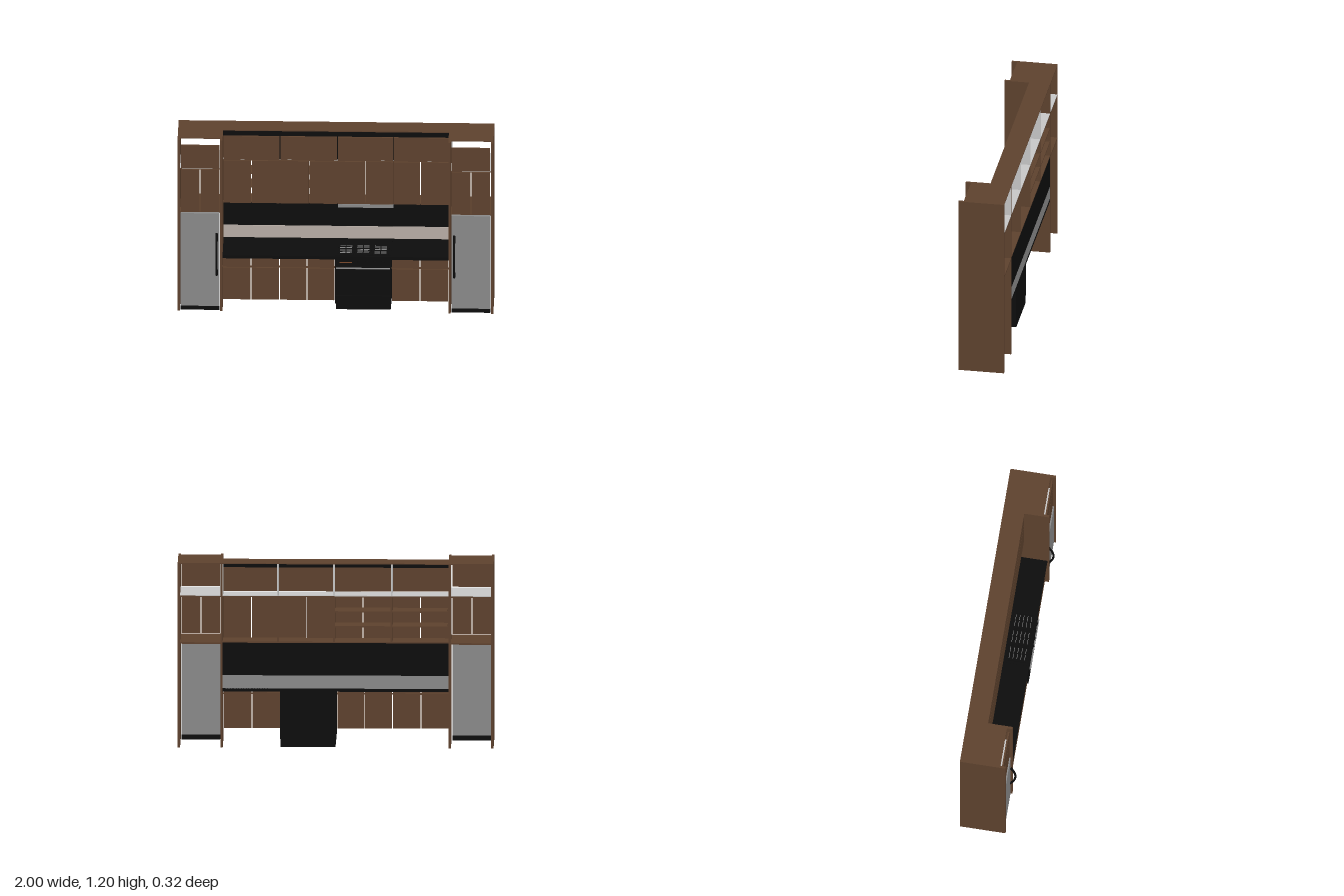
import * as THREE from 'three';

const mat = (name, color) => {
  const m = new THREE.MeshStandardMaterial({ color });
  m.name = name;
  return m;
};

export function createModel() {
  const wood = mat('walnut', 0x5e422e);
  const black = mat('black', 0x0d0d0d);
  const steel = mat('steel', 0x8a8a8a);
  const light = mat('lightLiner', 0xc8c8c8);
  const beige = mat('beigeSplash', 0xb8aea6);
  const copper = mat('display', 0x7a4a2c);

  const model = new THREE.Group();
  model.name = 'kitchenWall';

  // Box given by its limits on each axis
  const box = (name, m, x0, x1, y0, y1, z0, z1, parent = model) => {
    const mesh = new THREE.Mesh(new THREE.BoxGeometry(x1 - x0, y1 - y0, z1 - z0), m);
    mesh.position.set((x0 + x1) / 2, (y0 + y1) / 2, (z0 + z1) / 2);
    mesh.name = name;
    parent.add(mesh);
    return mesh;
  };
  // Row of doors between successive x positions, with narrow gaps
  const doors = (name, xs, y0, y1, z, parent = model) => {
    for (let i = 0; i < xs.length - 1; i++)
      box(name, wood, xs[i] + 0.003, xs[i + 1] - 0.003, y0 + 0.003, y1 - 0.003, z - 0.01, z, parent);
  };

  const BACK = -0.163;
  const H = 1.195;

  // Refrigerator columns, one at each end
  for (const s of [-1, 1]) {
    const col = new THREE.Group();
    col.name = s > 0 ? 'leftFridgeColumn' : 'rightFridgeColumn';
    model.add(col);
    const b = (name, m, a, c, y0, y1, z0, z1) =>
      box(name, m, Math.min(s * a, s * c), Math.max(s * a, s * c), y0, y1, z0, z1, col);
    b('outerPanel', wood, 0.985, 1, 0, H, BACK, 0.13);
    b('innerPanel', wood, 0.715, 0.73, 0, H, BACK, 0.13);
    b('columnTop', wood, 0.73, 0.985, H - 0.006, H, BACK, 0.095);
    b('cabinetFloor', wood, 0.73, 0.985, 0.672, 0.682, BACK, 0.1);
    b('cabinetShelf', wood, 0.73, 0.985, 0.976, 0.983, BACK, 0.1);
    b('shelfLiner', light, 0.73, 0.985, 0.983, 0.988, BACK, 0.1);
    b('sideLiner', light, 0.73, 0.733, 0.988, H - 0.006, BACK, -0.035);
    const xs = [0.733, 0.858, 0.982].map(x => s * x).sort((p, q) => p - q);
    doors('fridgeCabinetDoor', xs, 0.682, 0.982, 0.112, col);
    doors('fridgeTopDoor', [xs[0], xs[2]], 0.988, 1.153, 0.112, col);
    b('fridgeDoor', steel, 0.735, 0.98, 0.03, 0.678, 0.095, 0.12);
    b('fridgeKick', black, 0.735, 0.98, 0, 0.03, 0.085, 0.115);

    // Bowed handle
    const curve = new THREE.QuadraticBezierCurve3(
      new THREE.Vector3(0, 0.245, 0.118),
      new THREE.Vector3(0, 0.392, 0.188),
      new THREE.Vector3(0, 0.54, 0.118));
    const handle = new THREE.Mesh(new THREE.TubeGeometry(curve, 24, 0.007, 8), black);
    handle.position.x = s * 0.752;
    handle.name = 'fridgeHandle';
    col.add(handle);
  }

  // Wall cabinets, open at the back
  const X = 0.715;
  const wall = new THREE.Group();
  wall.name = 'wallCabinets';
  model.add(wall);
  const bays = [-X, -0.355, 0.01, 0.365, X];
  box('wallTop', wood, -X, X, H - 0.006, H, BACK, -0.028, wall);
  box('topFascia', black, -X, X, 1.145, H - 0.006, -0.052, -0.045, wall);
  box('wallFloor', wood, -X, X, 0.68, 0.688, BACK, -0.042, wall);
  box('wallShelf', wood, -X, X, 0.976, 0.983, BACK, -0.042, wall);
  box('wallShelfLiner', light, -X, X, 0.983, 0.987, BACK, -0.042, wall);
  for (const x of bays.slice(1, 4)) {
    box('wallDivider', wood, x - 0.006, x + 0.006, 0.688, 0.976, BACK, -0.042, wall);
    box('topDivider', light, x - 0.005, x + 0.005, 0.987, H - 0.006, BACK, -0.053, wall);
    box('topGap', black, x - 0.004, x + 0.004, 0.987, 1.15, -0.05, -0.042, wall);
  }
  box('endLiner', light, X - 0.003, X, 0.987, H - 0.006, BACK, -0.053, wall);
  for (const y of [0.782, 0.878])
    for (let i = 0; i < 2; i++)
      box('innerShelf', wood, bays[i] + 0.006, bays[i + 1] - 0.006, y, y + 0.008, BACK, -0.05, wall);
  doors('wallDoor', [-X, -0.535, -0.355, -0.17, 0.01, 0.185, 0.365, 0.535, X], 0.68, 0.982, -0.03, wall);
  doors('wallTopDoor', bays, 0.986, 1.153, -0.03, wall);

  // Extractor hood
  box('hood', steel, 0.012, 0.363, 0.657, 0.68, -0.15, -0.032);

  // Splashback
  box('splashback', black, -X, X, 0.47, 0.68, BACK, -0.155);
  box('splashStrip', beige, -X, X, 0.385, 0.47, -0.16, -0.15);
  box('splashStripBack', steel, -X, X, 0.385, 0.47, BACK, -0.16);

  // Base cabinets and worktop
  box('worktop', black, -X, X, 0.365, 0.386, BACK, 0.12);
  for (const xs of [[-X, -0.535, -0.355, -0.18, -0.005], [0.355, 0.535, X]]) {
    doors('baseDoor', xs, 0.07, 0.298, 0.108);
    doors('drawerFront', xs, 0.298, 0.365, 0.108);
    box('drawerRail', wood, xs[0], xs[xs.length - 1], 0.293, 0.303, 0.09, 0.098);
  }

  // Cooking range
  const range = new THREE.Group();
  range.name = 'range';
  model.add(range);
  const r0 = -0.004, r1 = 0.354, mid = (r0 + r1) / 2;
  box('rangeBody', black, r0, r1, 0.05, 0.39, -0.13, 0.105, range);
  box('rangeBase', black, r0 + 0.005, r1 - 0.005, 0, 0.05, -0.13, 0.085, range);
  box('rangeDrawer', black, r0, r1, 0.06, 0.108, 0.105, 0.115, range);
  box('ovenDoor', black, r0, r1, 0.114, 0.312, 0.105, 0.117, range);
  box('controlPanel', black, r0, r1, 0.318, 0.385, 0.105, 0.115, range);
  box('displayPlate', copper, 0.025, 0.105, 0.338, 0.346, 0.115, 0.117, range);
  const bar = new THREE.Mesh(new THREE.CylinderGeometry(0.005, 0.005, 0.34, 10), steel);
  bar.rotation.z = Math.PI / 2;
  bar.position.set(mid, 0.305, 0.124);
  bar.name = 'ovenHandle';
  range.add(bar);
  for (const x of [0.15, 0.2, 0.25, 0.3]) {
    const knob = new THREE.Mesh(new THREE.CylinderGeometry(0.009, 0.009, 0.012, 16), black);
    knob.rotation.x = Math.PI / 2;
    knob.position.set(x, 0.348, 0.12);
    knob.name = 'knob';
    range.add(knob);
  }

  // Cooktop burners and grates
  for (const x of [0.07, 0.175, 0.28])
    for (const z of [0.005, 0.08]) {
      const burner = new THREE.Mesh(new THREE.CylinderGeometry(0.02, 0.022, 0.006, 20), black);
      burner.position.set(x, 0.392, z);
      burner.name = 'burner';
      range.add(burner);
    }
  for (let i = 0; i < 3; i++) {
    const a = 0.015 + i * 0.11, c = a + 0.1;
    for (const z of [-0.015, 0.01, 0.035, 0.06, 0.085])
      box('grateBar', steel, a + 0.012, c - 0.012, 0.395, 0.399, z - 0.0015, z + 0.0015, range);
    for (const x of [a, (a + c) / 2, c])
      box('grateRib', black, x - 0.003, x + 0.003, 0.39, 0.4, -0.02, 0.1, range);
  }
  return model;
}
